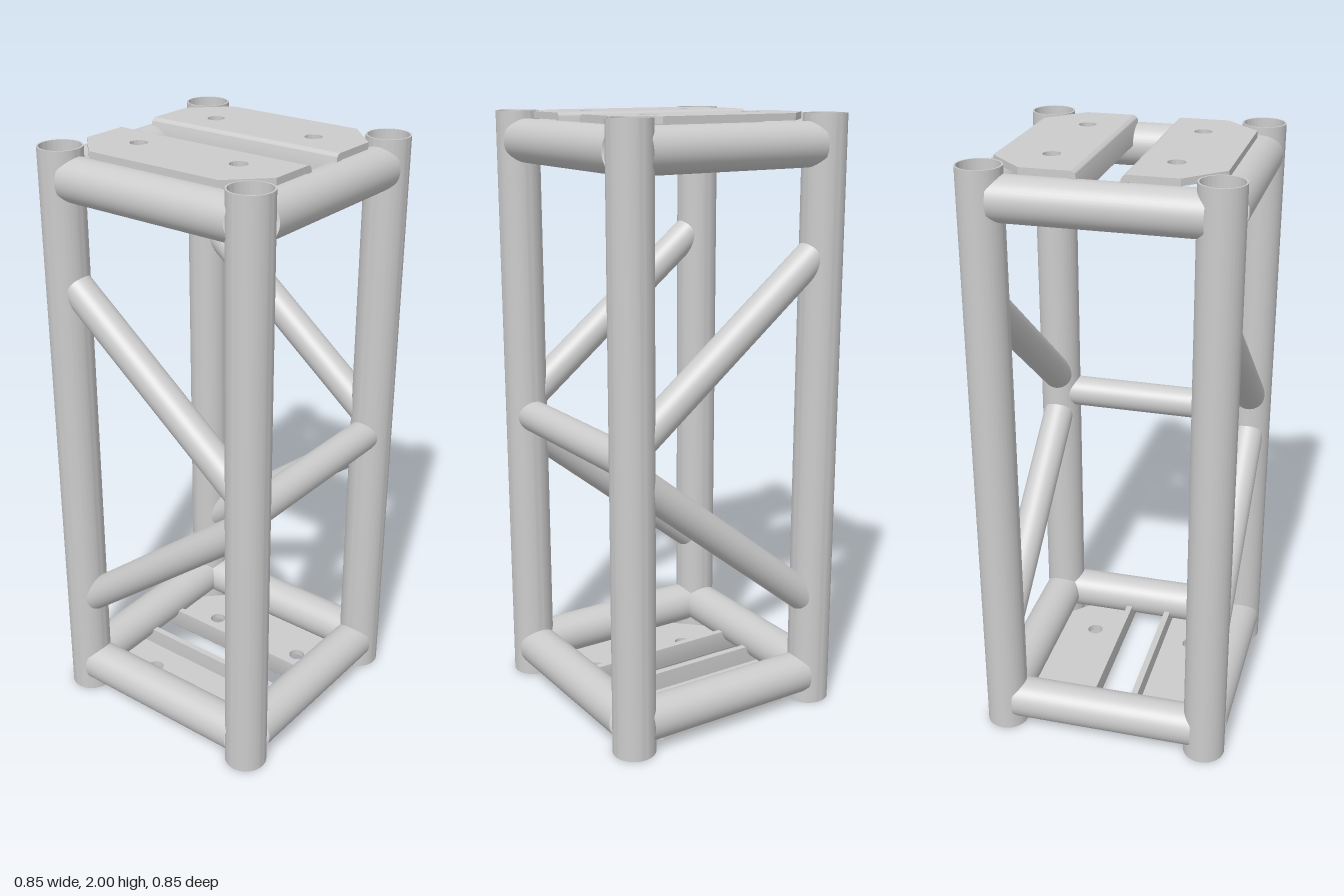
import * as THREE from 'three';
import { toCreasedNormals } from 'three/addons/utils/BufferGeometryUtils.js';

const P = 0.356;      // post centre offset in x and z
const R = 0.071;      // outer radius of posts and end rails
const BRACE = 0.054;  // radius of the thinner braces
const MID = 0.972;    // height at which the bracing meets
const mat = new THREE.MeshStandardMaterial({ color: 0xcccccc, side: THREE.DoubleSide });

function add(parent, name, geo, x = 0, y = 0, z = 0) {
  const mesh = new THREE.Mesh(geo, mat);
  mesh.name = name;
  mesh.position.set(x, y, z);
  parent.add(mesh);
  return mesh;
}

// Tube in the x-y plane, its ends slid along the axis to saddle against the posts
function copedTube(radius, angle) {
  const geo = new THREE.CylinderGeometry(radius, radius, 0.6, 48, 1, true);
  const end = geo.attributes.position.clone();
  geo.rotateZ(angle - Math.PI / 2);
  const pos = geo.attributes.position;
  for (let i = 0; i < pos.count; i++) {
    const d = pos.getZ(i);
    const reach = Math.min(0.318, P - Math.sqrt(Math.max(0, R * R - d * d)));
    const x = Math.sign(end.getY(i)) * reach;
    pos.setY(i, pos.getY(i) + (x - pos.getX(i)) * Math.tan(angle));
    pos.setX(i, x);
  }
  return geo;
}

// Hollow upright standing on y = 0
function postGeometry() {
  const ring = new THREE.Shape().absarc(0, 0, R, 0, Math.PI * 2);
  ring.holes.push(new THREE.Path().absarc(0, 0, 0.0655, 0, Math.PI * 2, true));
  const geo = new THREE.ExtrudeGeometry(ring, { depth: 2, bevelEnabled: false, curveSegments: 48 });
  geo.rotateX(-Math.PI / 2);
  return toCreasedNormals(geo, 0.6);
}

// Flat plate with clipped outer corners and two bolt holes; top face at y = 0
const T = 0.022, INNER = 0.065, BEND = 0.02;
function plateGeometry() {
  const s = new THREE.Shape();
  s.moveTo(-P, -INNER - BEND);
  s.lineTo(-P, -0.238);
  s.lineTo(-0.242, -0.352);
  s.lineTo(0.242, -0.352);
  s.lineTo(P, -0.238);
  s.lineTo(P, -INNER - BEND);
  for (const x of [-0.189, 0.189]) {
    s.holes.push(new THREE.Path().absarc(x, -0.189, 0.028, 0, Math.PI * 2, true));
  }
  const geo = new THREE.ExtrudeGeometry(s, { depth: T, bevelEnabled: false, curveSegments: 24 });
  geo.rotateX(-Math.PI / 2).translate(0, -T, 0);
  return toCreasedNormals(geo, 0.6);
}

// Rounded fold and lip along the plate's inner edge
function lipGeometry() {
  const drop = 0.085, z = INNER;
  const s = new THREE.Shape();
  s.moveTo(-z - BEND, 0);
  s.absarc(-z - BEND, -BEND, BEND, Math.PI / 2, 0, true);
  s.lineTo(-z, -drop);
  s.lineTo(-z - T, -drop);
  s.lineTo(-z - T, -T);
  const geo = new THREE.ExtrudeGeometry(s, { depth: 2 * P, bevelEnabled: false, curveSegments: 8 });
  geo.rotateY(-Math.PI / 2).translate(P, 0, 0);
  return toCreasedNormals(geo, 0.6);
}

export function createModel() {
  const model = new THREE.Group();
  model.name = 'trussSegment';

  // Four uprights
  const post = postGeometry();
  for (const x of [-P, P]) for (const z of [-P, P]) add(model, 'post', post, x, 0, z);

  // Square of rails near each end
  const rail = copedTube(R, 0);
  for (const y of [0.098, 1.905]) {
    for (const s of [-P, P]) {
      add(model, 'crossRail', rail, 0, y, s);
      add(model, 'sideRail', rail, s, y, 0).rotation.y = Math.PI / 2;
    }
  }

  // Diagonals on front and back, meeting at the left side
  const slope = Math.atan2(0.455, 0.57);
  const rising = copedTube(BRACE, slope);
  const falling = copedTube(BRACE, -slope);
  for (const z of [-P, P]) {
    add(model, 'upperDiagonal', falling, 0, MID + 0.33, z);
    add(model, 'lowerDiagonal', rising, 0, MID - 0.33, z);
  }

  // Single horizontal brace on the left side
  add(model, 'sideBrace', copedTube(BRACE, 0), P, MID, 0).rotation.y = Math.PI / 2;

  // A pair of folded mounting plates on each end
  const plate = plateGeometry();
  const lip = lipGeometry();
  for (const top of [true, false]) {
    const endPlates = new THREE.Group();
    endPlates.name = top ? 'topPlates' : 'bottomPlates';
    for (const turn of [0, Math.PI]) {
      const half = new THREE.Group();
      half.name = 'mountingPlate';
      add(half, 'plate', plate);
      add(half, 'plateLip', lip);
      half.rotation.y = turn;
      endPlates.add(half);
    }
    endPlates.position.y = top ? 2 : 0;
    endPlates.rotation.x = top ? 0 : Math.PI;
    model.add(endPlates);
  }
  return model;
}
